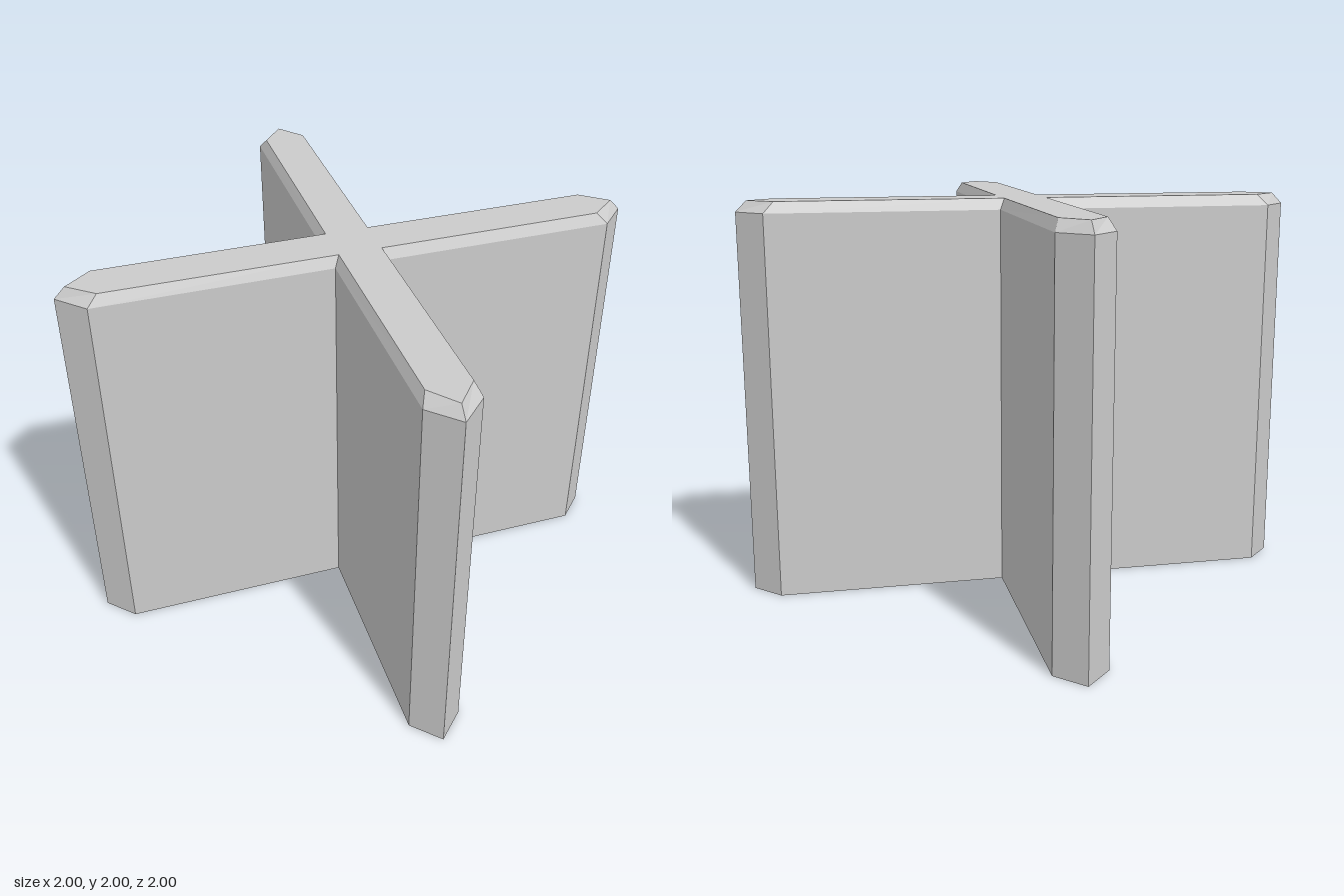
import * as THREE from 'three';

// One arm of the cross as (x, z) points, starting at the valley between arms
const ARM = [[0.185, 0], [1, 0.815], [1, 1], [0.815, 1]];
const ARM_TOP = [[0.15, 0], [0.945, 0.797], [0.962, 0.962], [0.797, 0.945]];

// Repeats an arm by quarter turns into a closed ring at height y
function crossRing(arm, y) {
  const ring = [];
  for (let k = 0; k < 4; k++) {
    for (const [x, z] of arm) {
      let p = [x, z];
      for (let i = 0; i < k; i++) p = [-p[1], p[0]];
      ring.push([p[0], y, p[1]]);
    }
  }
  return ring;
}

// Joins the rings with side faces and closes both ends with fans
function loft(rings) {
  const pos = [];
  const tri = (...corners) => corners.forEach((c) => pos.push(...c));
  const n = rings[0].length;
  const bottom = rings[0];
  const top = rings[rings.length - 1];
  for (let i = 0; i < n; i++) {
    const j = (i + 1) % n;
    for (let r = 0; r < rings.length - 1; r++) {
      const lo = rings[r], hi = rings[r + 1];
      tri(lo[i], hi[i], lo[j]);
      tri(lo[j], hi[i], hi[j]);
    }
    tri([0, bottom[0][1], 0], bottom[i], bottom[j]);
    tri([0, top[0][1], 0], top[j], top[i]);
  }
  const geometry = new THREE.BufferGeometry();
  geometry.setAttribute('position', new THREE.Float32BufferAttribute(pos, 3));
  geometry.computeVertexNormals();
  return geometry;
}

export function createModel() {
  const group = new THREE.Group();
  group.name = 'crossBlock';

  // Upright walls with a bevelled top edge
  const walls = new THREE.Mesh(
    loft([crossRing(ARM, 0), crossRing(ARM, 1.945), crossRing(ARM_TOP, 2)]),
    new THREE.MeshStandardMaterial({ color: 0xcccccc, flatShading: true })
  );
  walls.name = 'crossedWalls';
  group.add(walls);
  return group;
}
